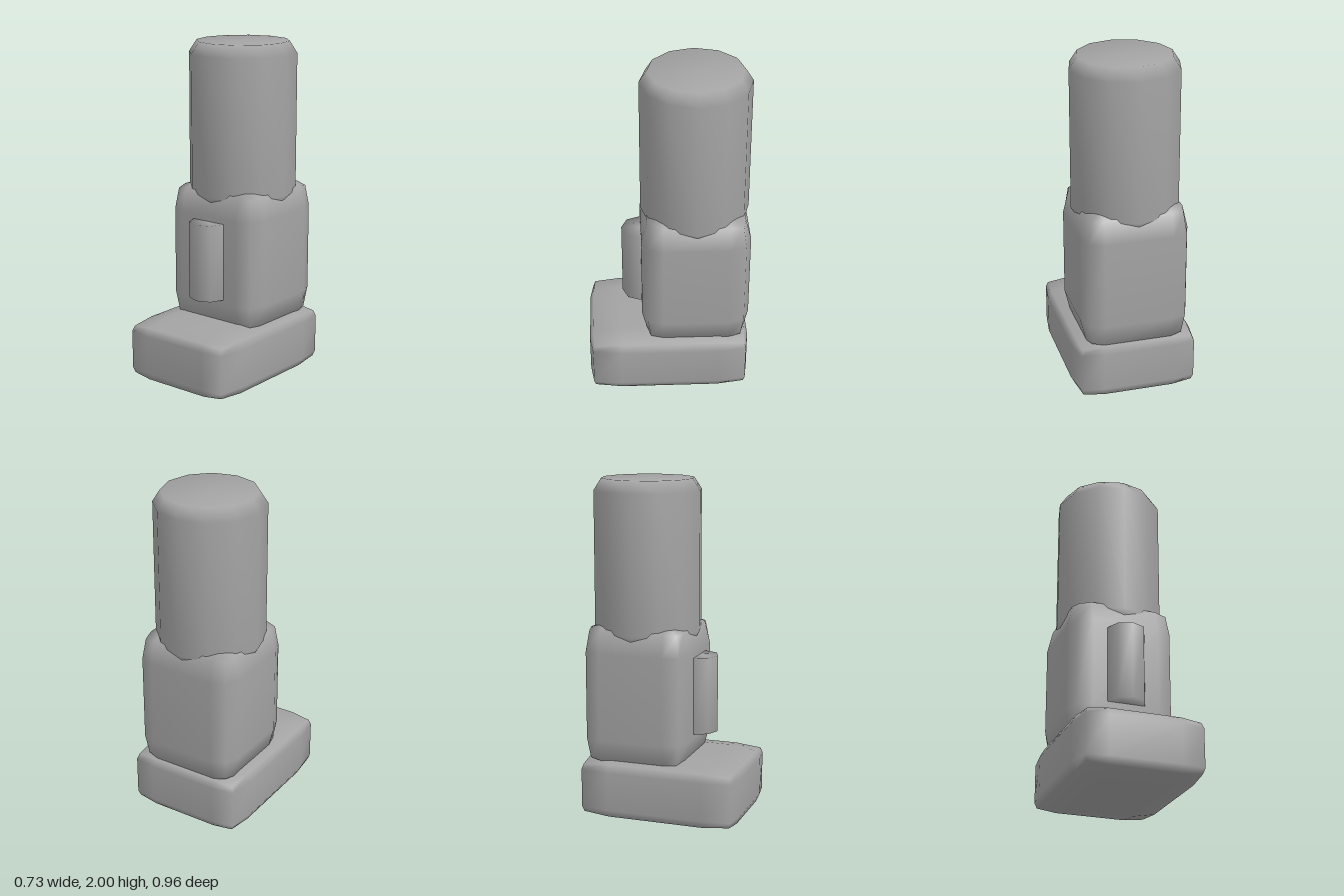
import * as THREE from 'three';
import { mergeVertices } from 'three/addons/utils/BufferGeometryUtils.js';

// Share vertices so the shading runs smoothly over every edge
function smooth(geometry) {
  geometry.deleteAttribute('uv');
  geometry.deleteAttribute('normal');
  const merged = mergeVertices(geometry, 1e-4);
  merged.computeVertexNormals();
  return merged;
}

// Pillowy block: a 3x3x3 box whose inner rows sit at `inner`,
// with edges drawn in by `pull` and corners a little further
function softBlock(half, inner, pull) {
  const geometry = new THREE.BoxGeometry(2, 2, 2, 3, 3, 3);
  const position = geometry.attributes.position;
  for (let i = 0; i < position.count; i++) {
    const p = [position.getX(i), position.getY(i), position.getZ(i)];
    const outer = p.map((v) => Math.abs(v) > 0.9);
    const count = outer.filter(Boolean).length;
    const amount = [0, 0, 1, 1.5][count];
    const q = p.map((v, a) => Math.sign(v) * (outer[a] ? half[a] - pull[a] * amount : inner[a]));
    position.setXYZ(i, ...q);
  }
  return smooth(geometry);
}

export function createModel() {
  const group = new THREE.Group();
  const grey = new THREE.MeshStandardMaterial({ color: 0xa3a3a3 });
  grey.name = 'plain grey';

  const add = (name, geometry, x, y, z) => {
    const mesh = new THREE.Mesh(geometry, grey);
    mesh.name = name;
    mesh.position.set(x, y, z);
    group.add(mesh);
  };

  // Wide foot, reaching forward
  add('base', softBlock([0.367, 0.185, 0.48], [0.21, 0.115, 0.29], [0.024, 0.025, 0.02]), 0, 0.185, 0);

  // Square body at the back of the foot
  add('body', softBlock([0.32, 0.42, 0.32], [0.2, 0.26, 0.195], [0.033, 0.025, 0.034]), 0, 0.74, -0.16);

  // Twelve-sided column with bevelled ends
  const profile = [[0, 1.04], [0.275, 1.04], [0.32, 1.11], [0.32, 1.93], [0.275, 2], [0, 2]]
    .map(([r, y]) => new THREE.Vector2(r, y));
  add('column', smooth(new THREE.LatheGeometry(profile, 12)), 0, 0, -0.16);

  // Half-sunk upright bar on the front of the body
  add('frontBar', smooth(new THREE.CylinderGeometry(0.114, 0.114, 0.46, 8)), 0, 0.74, 0.16);

  return group;
}
